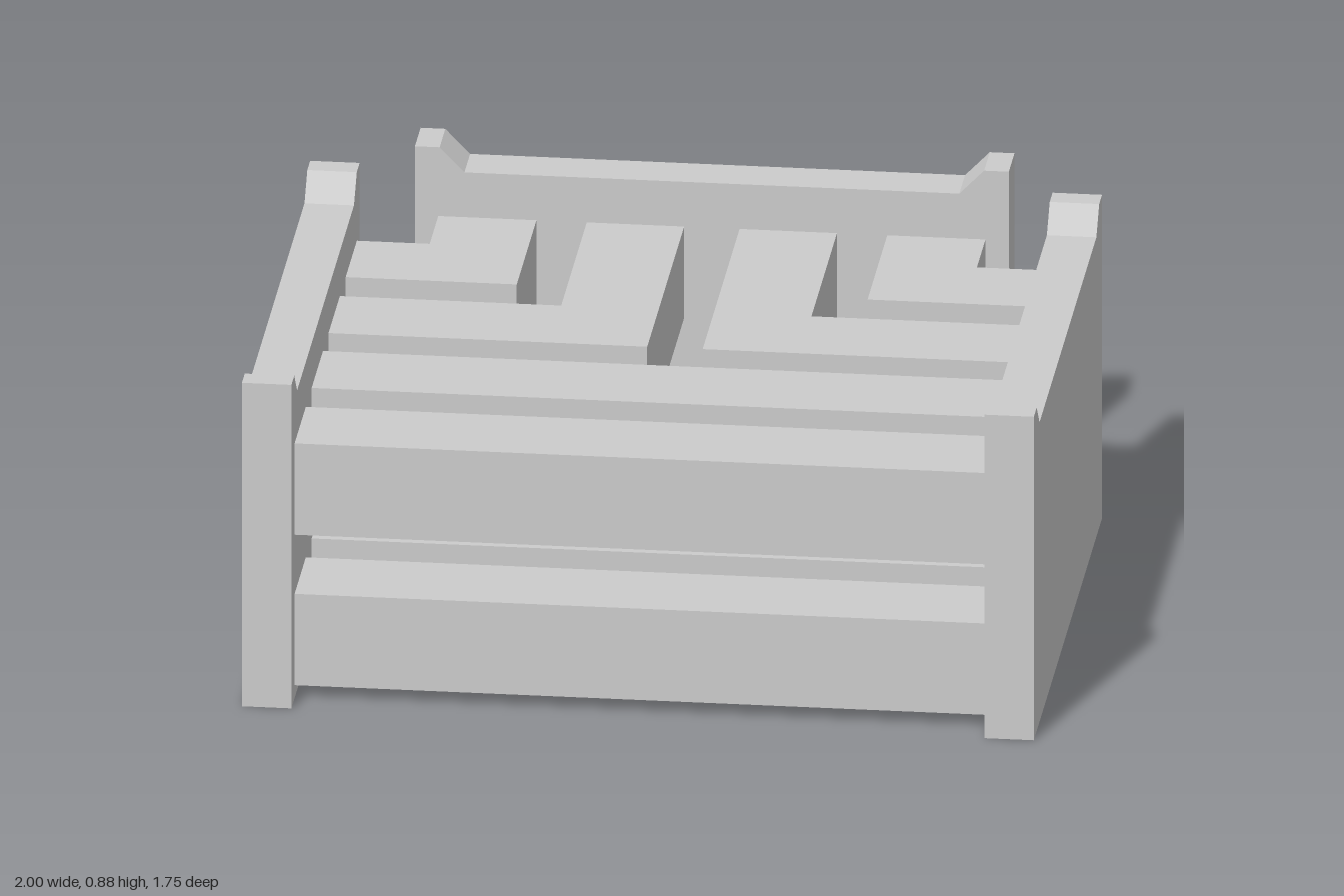
import * as THREE from 'three';

const material = new THREE.MeshStandardMaterial({ color: 0xcccccc, flatShading: true });

function extrude(points, depth) {
  const shape = new THREE.Shape(points.map(([x, y]) => new THREE.Vector2(x, y)));
  return new THREE.ExtrudeGeometry(shape, { depth, bevelEnabled: false });
}

// Upright board centred on its length, with a raised chamfered horn at each end
function panelGeometry(length, thickness) {
  const h = length / 2, top = 0.875, dip = 0.81;
  return extrude([
    [-h, 0], [h, 0], [h, top], [h - 0.0625, top], [h - 0.125, dip],
    [-h + 0.125, dip], [-h + 0.0625, top], [-h, top],
  ], thickness).translate(0, 0, -thickness / 2);
}

// Flat bar from a plan outline given as [x, z]
function barGeometry(plan, height) {
  return extrude(plan.map(([x, z]) => [x, -z]), height).rotateX(-Math.PI / 2);
}

export function createModel() {
  const model = new THREE.Group();
  const add = (name, geometry, x, y, z) => {
    const mesh = new THREE.Mesh(geometry, material);
    mesh.name = name;
    mesh.position.set(x, y, z);
    model.add(mesh);
    return mesh;
  };

  // Side and back panels
  for (const [side, s] of [['left', 1], ['right', -1]]) {
    add(`${side}Panel`, panelGeometry(1.5, 0.125), s * 0.9375, 0, 0.125).rotation.y = Math.PI / 2;
  }
  add('backPanel', panelGeometry(1.5, 0.125), 0, 0, -0.8145);

  // Plan outlines of the corner bars, running from a side panel to the back panel
  const back = -0.752, end = 0.875;
  const outerCorner = [[0.07, back], [0.316, back], [0.316, -0.19], [end, -0.19], [end, 0.06], [0.07, 0.06]];
  const innerCorner = [[0.443, back], [0.691, back], [0.691, -0.564], [end, -0.564], [end, -0.318], [0.443, -0.318]];

  // Two identical layers of bars
  const height = 0.247;
  for (const [layer, y] of [['lower', 0.035], ['upper', 0.442]]) {
    add(`${layer}FrontBar`, new THREE.BoxGeometry(1.75, height, 0.247), 0, y + height / 2, 0.682);
    add(`${layer}MiddleBar`, new THREE.BoxGeometry(1.75, height, 0.25), 0, y + height / 2, 0.306);
    for (const [side, s] of [['Left', 1], ['Right', -1]]) {
      const mirror = (plan) => plan.map(([x, z]) => [s * x, z]);
      add(`${layer}${side}LongCornerBar`, barGeometry(mirror(outerCorner), height), 0, y, 0);
      add(`${layer}${side}ShortCornerBar`, barGeometry(mirror(innerCorner), height), 0, y, 0);
    }
  }
  return model;
}
